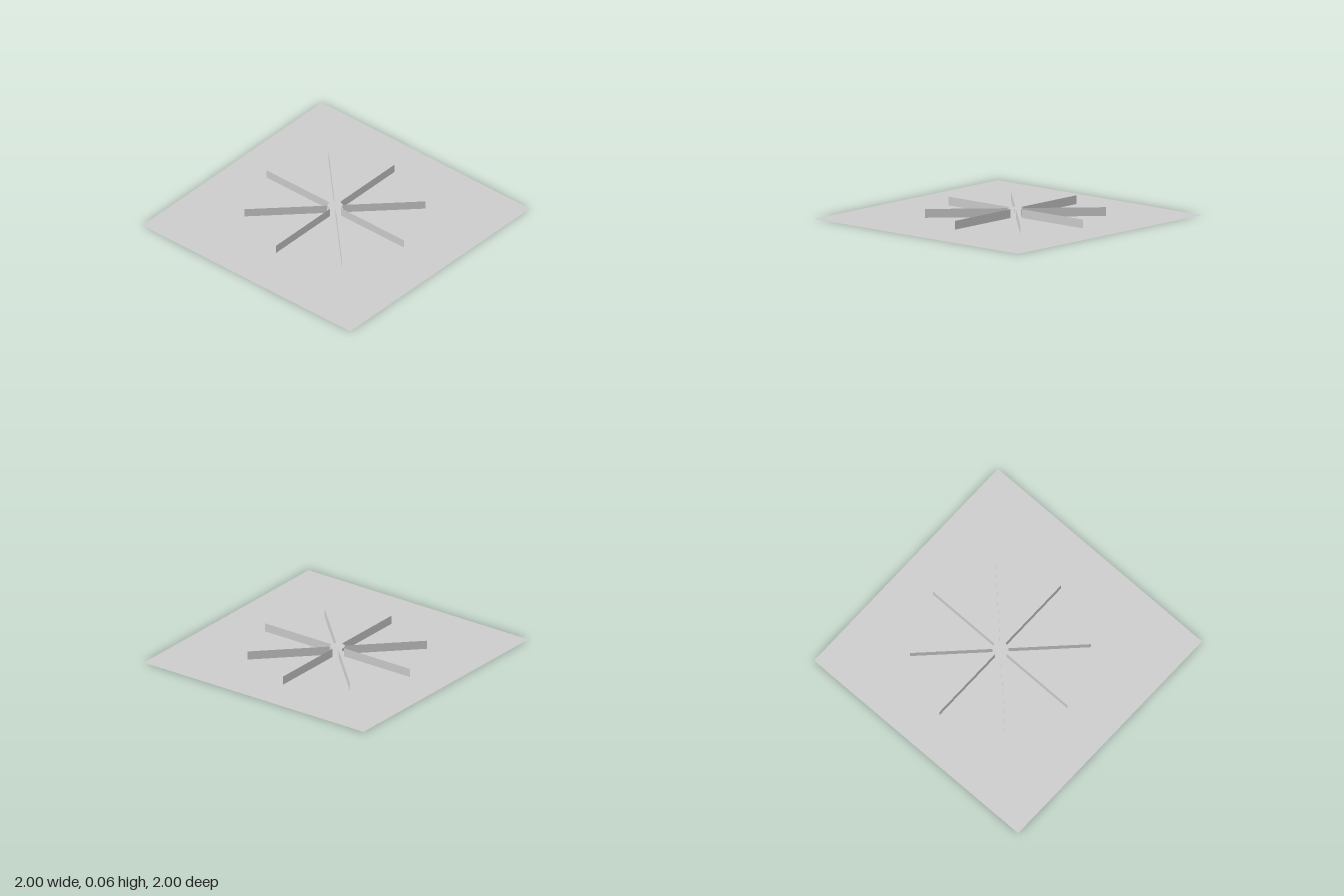
import * as THREE from 'three';

export function createModel() {
  const model = new THREE.Group();
  const material = new THREE.MeshStandardMaterial({
    color: 0xcccccc, flatShading: true, side: THREE.DoubleSide,
  });
  const add = (parent, name, geometry) => {
    const mesh = new THREE.Mesh(geometry, material);
    mesh.name = name;
    parent.add(mesh);
    return mesh;
  };

  const count = 8, height = 0.065, inner = 0.058, outer = 0.66;

  // Square ground sheet
  add(model, 'ground', new THREE.PlaneGeometry(2, 2).rotateX(-Math.PI / 2));

  // Star of upright walls, set slightly off the middle of the ground
  const star = new THREE.Group();
  star.name = 'star';
  star.position.set(0.038, 0, -0.041);
  model.add(star);

  // Thin radial walls
  const wall = new THREE.PlaneGeometry(outer - inner, height)
    .translate((inner + outer) / 2, height / 2, 0);
  for (let i = 0; i < count; i++) {
    add(star, 'radialWall', wall).rotation.y = (i / count) * Math.PI * 2;
  }

  // Octagonal lid joining the inner ends of the walls
  add(star, 'hubLid', new THREE.CircleGeometry(inner, count)
    .rotateX(-Math.PI / 2).translate(0, height, 0));

  return model;
}
